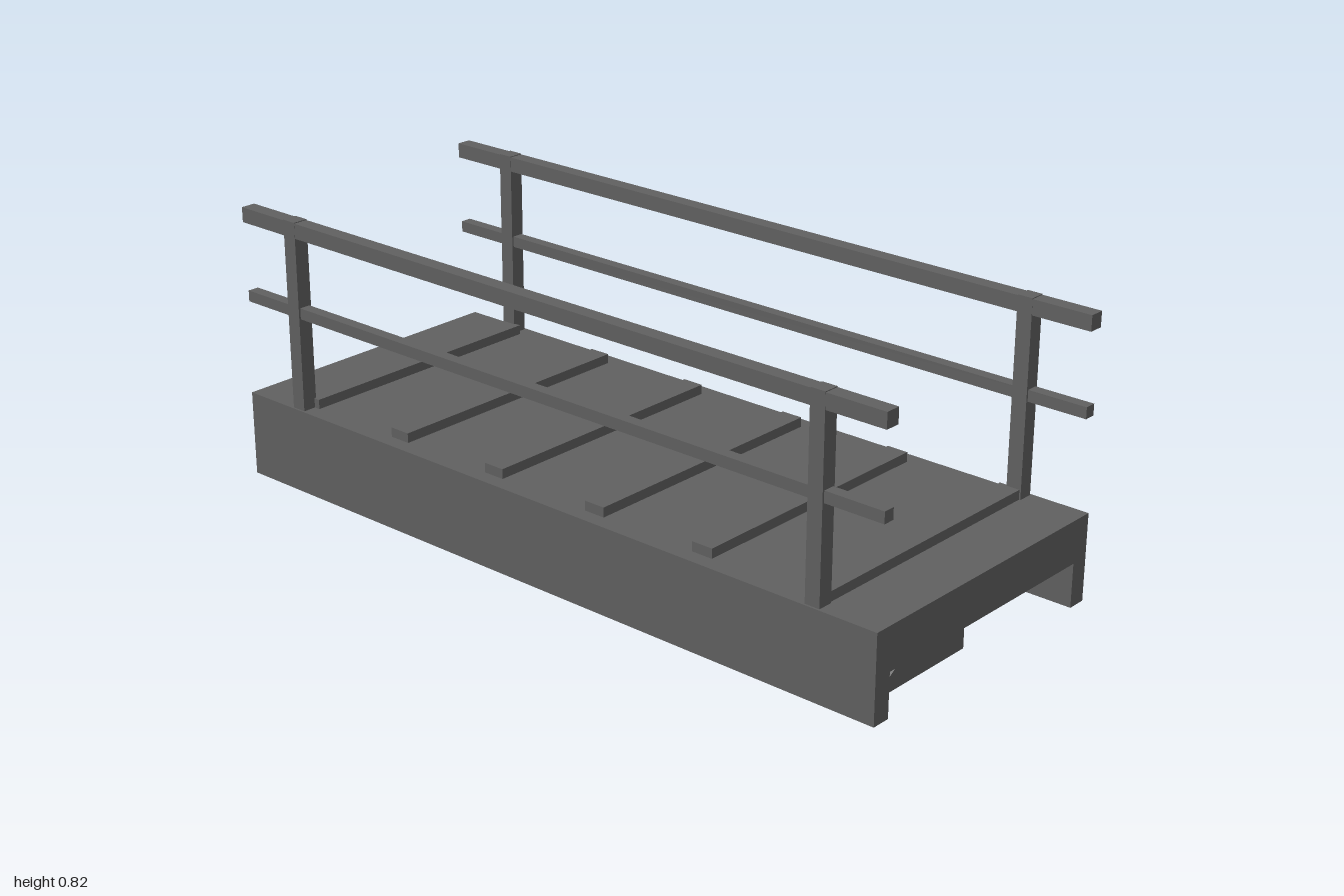
import * as THREE from 'three';

export function createModel() {
  const group = new THREE.Group();
  const steel = new THREE.MeshStandardMaterial({ color: 0x606060 });
  steel.name = 'dark grey steel';

  const add = (name, geometry, x, y, z) => {
    const mesh = new THREE.Mesh(geometry, steel);
    mesh.name = name;
    mesh.position.set(x, y, z);
    group.add(mesh);
  };
  // box given by its x, y and z ranges
  const box = (name, [x0, x1], [y0, y1], [z0, z1]) =>
    add(name, new THREE.BoxGeometry(x1 - x0, y1 - y0, z1 - z0),
      (x0 + x1) / 2, (y0 + y1) / 2, (z0 + z1) / 2);

  // deck and side beams as one inverted channel
  const channel = new THREE.Shape([
    [-0.4, 0.097], [-0.35, 0.097], [-0.35, 0.21], [0.35, 0.21],
    [0.35, 0.097], [0.4, 0.097], [0.4, 0.321], [-0.4, 0.321],
  ].map(([x, y]) => new THREE.Vector2(x, y)));
  add('deck', new THREE.ExtrudeGeometry(channel, { depth: 2, bevelEnabled: false }), 0, 0, -1);

  // six cross slats on the deck
  for (let i = 0; i < 6; i++) {
    const z = -0.815 + i * 0.325;
    box('slat', [-0.36, 0.36], [0.319, 0.346], [z - 0.029, z + 0.029]);
  }

  // railings on both sides
  for (const side of [-1, 1]) {
    const x = side * 0.375;
    for (const z of [-0.823, 0.823])
      box('railPost', [x - 0.02, x + 0.02], [0.321, 0.818], [z - 0.02, z + 0.02]);
    box('handRail', [x - 0.0195, x + 0.0195], [0.777, 0.816], [-1, 1]);
    box('middleRail', [x - 0.015, x + 0.015], [0.566, 0.595], [-1, 1]);
  }

  // triangular feet under the deck
  const wedge = new THREE.Shape([
    [-0.175, 0], [0.175, 0], [0.175, 0.219],
  ].map(([x, y]) => new THREE.Vector2(x, y)));
  for (const z of [-0.8, 0.8])
    add('wedgeFoot', new THREE.ExtrudeGeometry(wedge, { depth: 0.056, bevelEnabled: false }), 0, 0, z - 0.028);

  return group;
}
